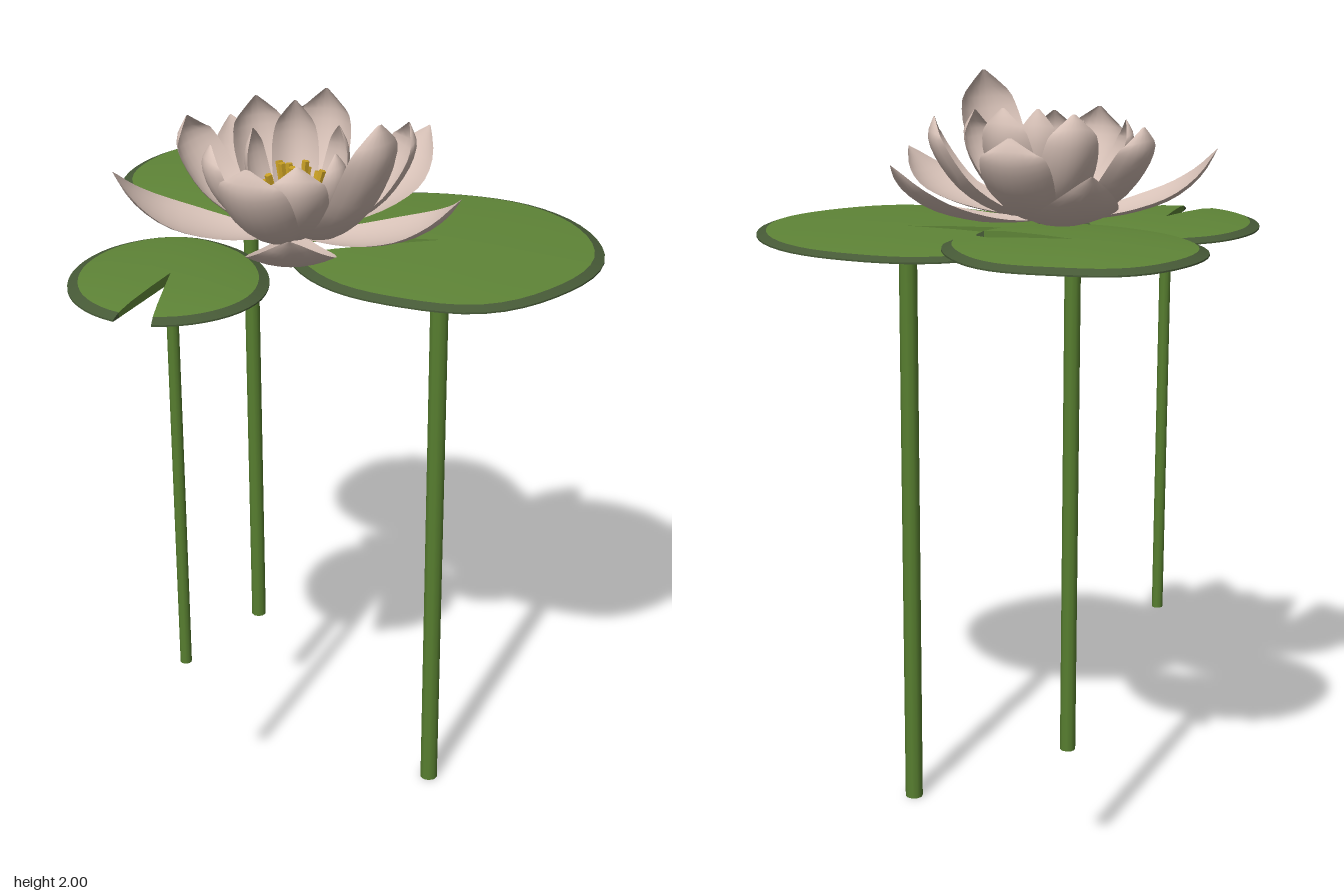
import * as THREE from 'three';
import { toCreasedNormals } from 'three/addons/utils/BufferGeometryUtils.js';

const mat = (name, color, side = THREE.FrontSide) => {
  const m = new THREE.MeshStandardMaterial({ color, side });
  m.name = name;
  return m;
};

// Grid surface: fn(i, j) gives a point [x, y, z]
function surface(cols, rows, fn) {
  const pos = [], idx = [];
  for (let i = 0; i <= cols; i++) for (let j = 0; j <= rows; j++) pos.push(...fn(i, j));
  for (let i = 0; i < cols; i++) for (let j = 0; j < rows; j++) {
    const a = i * (rows + 1) + j, b = a + rows + 1;
    idx.push(a, b, a + 1, b, b + 1, a + 1);
  }
  const g = new THREE.BufferGeometry();
  g.setAttribute('position', new THREE.Float32BufferAttribute(pos, 3));
  g.setIndex(idx);
  g.computeVertexNormals();
  return g;
}

const spline = (values) => {
  const c = new THREE.SplineCurve(values.map((v, i) => new THREE.Vector2(i, v)));
  return (t) => c.getPoint(t).y;
};

export function createModel() {
  const leaf = mat('leafGreen', 0x5f8537);
  const rimGreen = mat('rimGreen', 0x475a37);
  const stemGreen = mat('stemGreen', 0x587f30);
  const pink = mat('petalPink', 0xd8c2b8, THREE.DoubleSide);
  const yellow = mat('stamenYellow', 0xc9a024);
  const model = new THREE.Group();
  const add = (parent, name, geo, material) => {
    const m = new THREE.Mesh(geo, material);
    m.name = name;
    parent.add(m);
    return m;
  };

  // Lily pads: notch between two angles (degrees, from +x towards +z), radii listed onward from the notch
  const pads = [
    { name: 'largePad', x: 0.24, z: 0.065, edge: 1.596, top: 1.62, notch: [169, 187], stem: 0.024, foot: 0,
      radii: [0.37, 0.385, 0.385, 0.365, 0.375, 0.39, 0.405, 0.395, 0.4, 0.37, 0.375, 0.38] },
    { name: 'backPad', x: -0.25, z: -0.257, edge: 1.637, top: 1.665, notch: [0, 27], stem: 0.02, foot: 0.33,
      radii: [0.3, 0.3, 0.29, 0.28, 0.3, 0.33, 0.33, 0.33, 0.305, 0.32, 0.315, 0.32] },
    { name: 'smallPad', x: -0.405, z: 0.3, edge: 1.602, top: 1.627, notch: [95, 116], stem: 0.015, foot: 0.53,
      radii: [0.255, 0.25, 0.245, 0.25, 0.265, 0.275, 0.25, 0.235, 0.235, 0.245, 0.25, 0.255] },
  ];
  for (const p of pads) {
    const group = new THREE.Group();
    group.name = p.name;
    model.add(group);
    const n = 48, radius = spline(p.radii);
    const a0 = THREE.MathUtils.degToRad(p.notch[1]);
    const a1 = THREE.MathUtils.degToRad(p.notch[0] + 360);
    // the end columns drop to the underside and close the notch walls
    const sheet = (profile) => toCreasedNormals(surface(n + 2, profile.length - 1, (i, j) => {
      const k = THREE.MathUtils.clamp((i - 1) / n, 0, 1);
      const a = a0 + (a1 - a0) * k, [t, y] = profile[j];
      const rimStep = t > 0.94 ? radius(k) - 0.025 * (1 - t) / 0.06 : radius(k) * t;
      const wall = i === 0 || i === n + 2;
      return [p.x + Math.cos(a) * rimStep, wall ? p.edge : y, p.z + Math.sin(a) * rimStep];
    }), 0.6);
    const h = p.top - p.edge;
    const shoulder = p.edge + h * 0.55;
    add(group, 'padTop', sheet([[0, p.top], [0.35, p.top - h * 0.05], [0.7, p.top - h * 0.2], [0.9401, shoulder]]), leaf);
    add(group, 'padRim', sheet([[0.9401, shoulder], [1, p.edge + 0.004], [1, p.edge]]), rimGreen);
    add(group, 'padUnderside', sheet([[1, p.edge], [0.5, p.edge], [0, p.edge]]), leaf);
    const len = p.edge - p.foot;
    add(group, 'stem', new THREE.CylinderGeometry(p.stem, p.stem, len, 10), stemGreen)
      .position.set(p.x, p.foot + len / 2, p.z);
  }

  // Flower
  const flower = new THREE.Group();
  flower.name = 'flower';
  flower.position.set(-0.12, 1.645, 0.1);
  model.add(flower);

  const pointed = [0.25, 0.5, 0.78, 0.97, 1, 0.82, 0.48, 0.02];
  const rounded = [0.3, 0.55, 0.8, 0.96, 1, 0.93, 0.7, 0.06];
  // Petal: spine of [radius, height], swept across its width and cupped inwards
  function petalGeometry(spine, halfWidth, shape, cup) {
    const curve = new THREE.SplineCurve(spine.map(([r, y]) => new THREE.Vector2(r, y)));
    const width = spline(shape), nu = 14, nv = 8;
    return surface(nv, nu, (i, j) => {
      const u = j / nu, v = (i / nv) * 2 - 1;
      const c = curve.getPoint(u), d = curve.getTangent(u);
      const w = halfWidth * Math.max(width(u), 0.01), lift = cup * v * v * w;
      return [c.x - d.y * lift, c.y + d.x * lift, v * w];
    });
  }
  // petals: [tip angle in degrees, length scale, height scale]
  const rings = [
    { name: 'outerPetal', half: 0.105, shape: pointed, cup: 0.22,
      spine: [[0.02, 0], [0.12, 0.004], [0.22, 0.02], [0.32, 0.055], [0.39, 0.11], [0.43, 0.175]],
      petals: [[-115, 0.98, 1], [-43, 1.06, 1], [21, 1, 0.88], [89, 1, 0.9], [171, 1.01, 1.05]] },
    { name: 'middlePetal', half: 0.093, shape: rounded, cup: 0.45,
      spine: [[0.02, 0.003], [0.12, 0.018], [0.21, 0.07], [0.27, 0.145], [0.295, 0.21], [0.28, 0.26]],
      petals: [[-82, 1.04, 0.95], [-14, 1.03, 1.02], [44, 1.04, 1.36], [111, 0.96, 1], [-155, 1.05, 1]] },
    { name: 'innerPetal', half: 0.075, shape: rounded, cup: 0.5,
      spine: [[0.02, 0.006], [0.09, 0.025], [0.16, 0.085], [0.205, 0.16], [0.22, 0.23], [0.2, 0.28]],
      petals: [[-119, 1.03, 1.05], [-69, 1.06, 1.1], [19, 1.08, 0.95], [85, 1.05, 0.9], [163, 1.02, 0.9]] },
    { name: 'corePetal', half: 0.058, shape: rounded, cup: 0.5,
      spine: [[0.02, 0.01], [0.07, 0.03], [0.115, 0.085], [0.14, 0.15], [0.145, 0.21], [0.125, 0.26]],
      petals: [[-90, 1.05, 1.15], [-28, 1, 1], [33, 1, 0.9], [92, 0.85, 0.75], [-160, 0.85, 1]] },
  ];
  for (const r of rings) for (const [deg, len, high] of r.petals) {
    const spine = r.spine.map(([a, b]) => [a * len, b * high]);
    add(flower, r.name, petalGeometry(spine, r.half, r.shape, r.cup), pink)
      .rotation.y = -THREE.MathUtils.degToRad(deg);
  }

  // Stamens: two rings leaning outwards
  const up = new THREE.Vector3(0, 1, 0);
  for (const [count, foot, head, height] of [[7, 0.012, 0.03, 0.17], [12, 0.03, 0.07, 0.15]]) {
    for (let i = 0; i < count; i++) {
      const a = (i / count) * Math.PI * 2 + count;
      const h = height + 0.02 * Math.sin(i * 2.3);
      const from = new THREE.Vector3(Math.cos(a) * foot, 0.01, Math.sin(a) * foot);
      const to = new THREE.Vector3(Math.cos(a) * head, h, Math.sin(a) * head);
      const dir = to.clone().sub(from);
      const geo = toCreasedNormals(new THREE.CylinderGeometry(0.0095, 0.005, dir.length(), 5), 0.5);
      const s = add(flower, 'stamen', geo, yellow);
      s.position.copy(from).add(to).multiplyScalar(0.5);
      s.quaternion.setFromUnitVectors(up, dir.normalize());
    }
  }
  return model;
}
